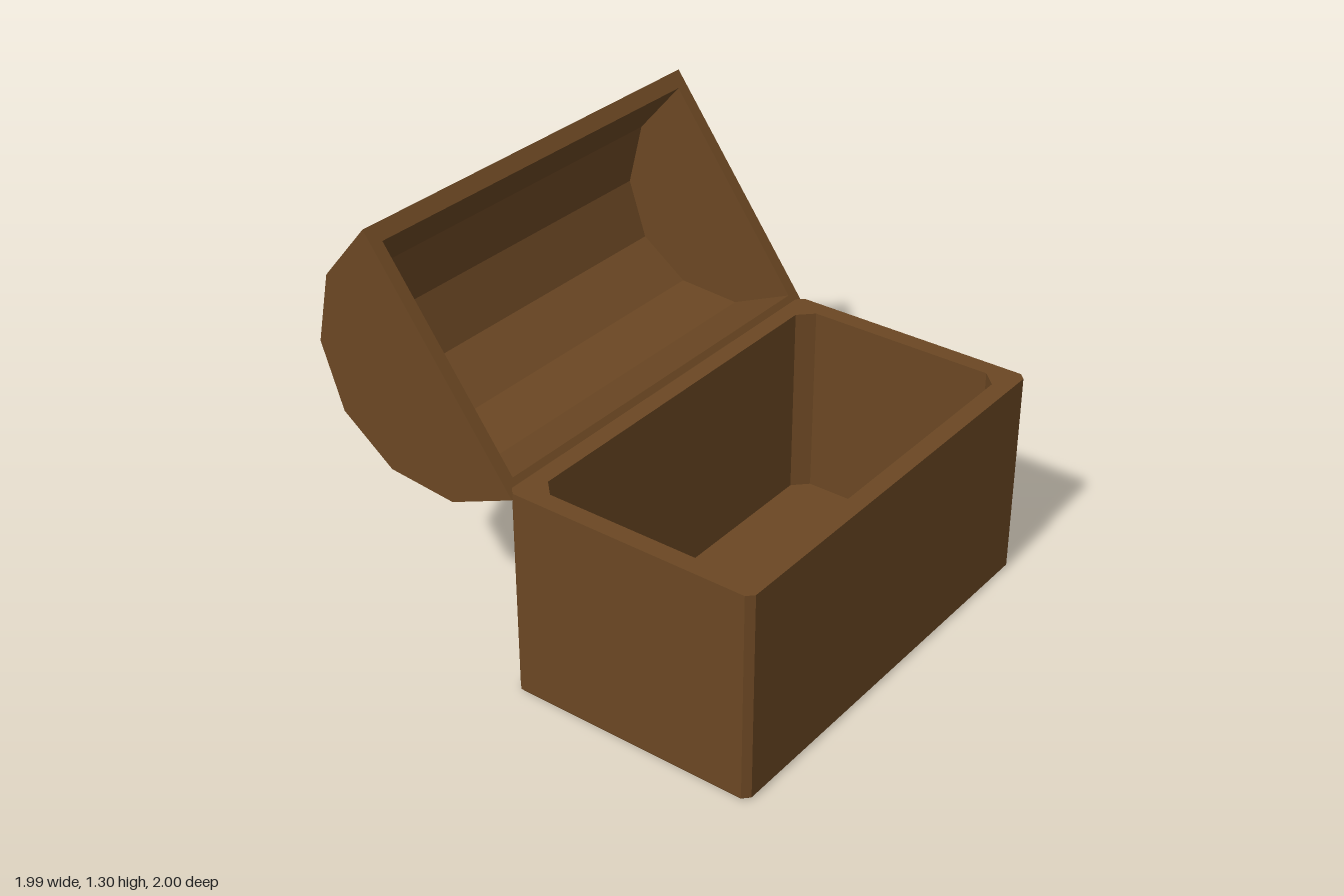
import * as THREE from 'three';

const wood = new THREE.MeshStandardMaterial({ color: 0x6b4723, flatShading: true, side: THREE.DoubleSide });

// Flat-faced skin through a list of rings with equal point counts
function loft(rings) {
  const pos = [];
  for (let i = 0; i < rings.length - 1; i++) {
    const p = rings[i], q = rings[i + 1];
    for (let j = 0; j < p.length - 1; j++) {
      pos.push(...p[j], ...p[j + 1], ...q[j + 1], ...p[j], ...q[j + 1], ...q[j]);
    }
  }
  const g = new THREE.BufferGeometry();
  g.setAttribute('position', new THREE.Float32BufferAttribute(pos, 3));
  g.computeVertexNormals();
  return g;
}

function part(name, geometry, parent) {
  const mesh = new THREE.Mesh(geometry, wood);
  mesh.name = name;
  parent.add(mesh);
  return mesh;
}

const HALF = 0.685, FRONT = 0.745, BACK = -0.055, TOP = 0.663;

// Closed rectangle with cut corners at height y, inset from the box outline
function rectRing(inset, cut, y) {
  const l = HALF - inset, f = FRONT - inset, b = BACK + inset;
  const ring = [
    [-l + cut, y, f], [l - cut, y, f], [l, y, f - cut], [l, y, b + cut],
    [l - cut, y, b], [-l + cut, y, b], [-l, y, b + cut], [-l, y, f - cut],
  ];
  return [...ring, ring[0]];
}

// Half of a twelve-sided ellipse, extruded along x and closed at both ends
const LID_MID = 0.38;
function dome(a, b, half, inward) {
  const arc = (x, k) => Array.from({ length: 7 }, (_, i) => {
    const t = (i / 6) * Math.PI;
    return [x, k * b * Math.sin(t), LID_MID - k * a * Math.cos(t)];
  });
  const l = inward ? -half : half;
  return loft([arc(-l, 0), arc(-l, 1), arc(l, 1), arc(l, 0)]);
}

function rectPath(Type, hx, hy) {
  return new Type([[-hx, -hy], [hx, -hy], [hx, hy], [-hx, hy]].map(([x, y]) => new THREE.Vector2(x, y)));
}

export function createModel() {
  const model = new THREE.Group();
  model.name = 'chest';
  const chest = new THREE.Group();
  chest.name = 'turnedChest';
  chest.rotation.y = 0.743;
  model.add(chest);

  // Box: outer walls, top rim, cavity walls and the raised floor
  const floorY = 0.045, wall = 0.057;
  const centre = rectRing(0, 0, floorY).map(() => [0, floorY, (FRONT + BACK) / 2]);
  part('box', loft([
    rectRing(0.006, 0.02, 0),
    rectRing(0, 0.02, 0.008),
    rectRing(0, 0.02, TOP),
    rectRing(wall, 0.045, TOP),
    rectRing(wall, 0.045, floorY),
    centre,
  ]), chest);

  // Lid: hinged on the back top edge and swung open
  const lid = new THREE.Group();
  lid.name = 'lid';
  lid.position.set(0, TOP, BACK);
  lid.rotation.x = -2.206;
  chest.add(lid);
  part('lidOuter', dome(0.408, 0.463, HALF, false), lid);
  part('lidInner', dome(0.358, 0.43, 0.645, true), lid);

  // Flat rim joining the two domes
  const rim = rectPath(THREE.Shape, HALF, 0.408);
  rim.holes.push(rectPath(THREE.Path, 0.645, 0.358));
  const rimGeometry = new THREE.ShapeGeometry(rim);
  rimGeometry.rotateX(Math.PI / 2);
  rimGeometry.translate(0, 0, LID_MID);
  part('lidRim', rimGeometry, lid);

  return model;
}
